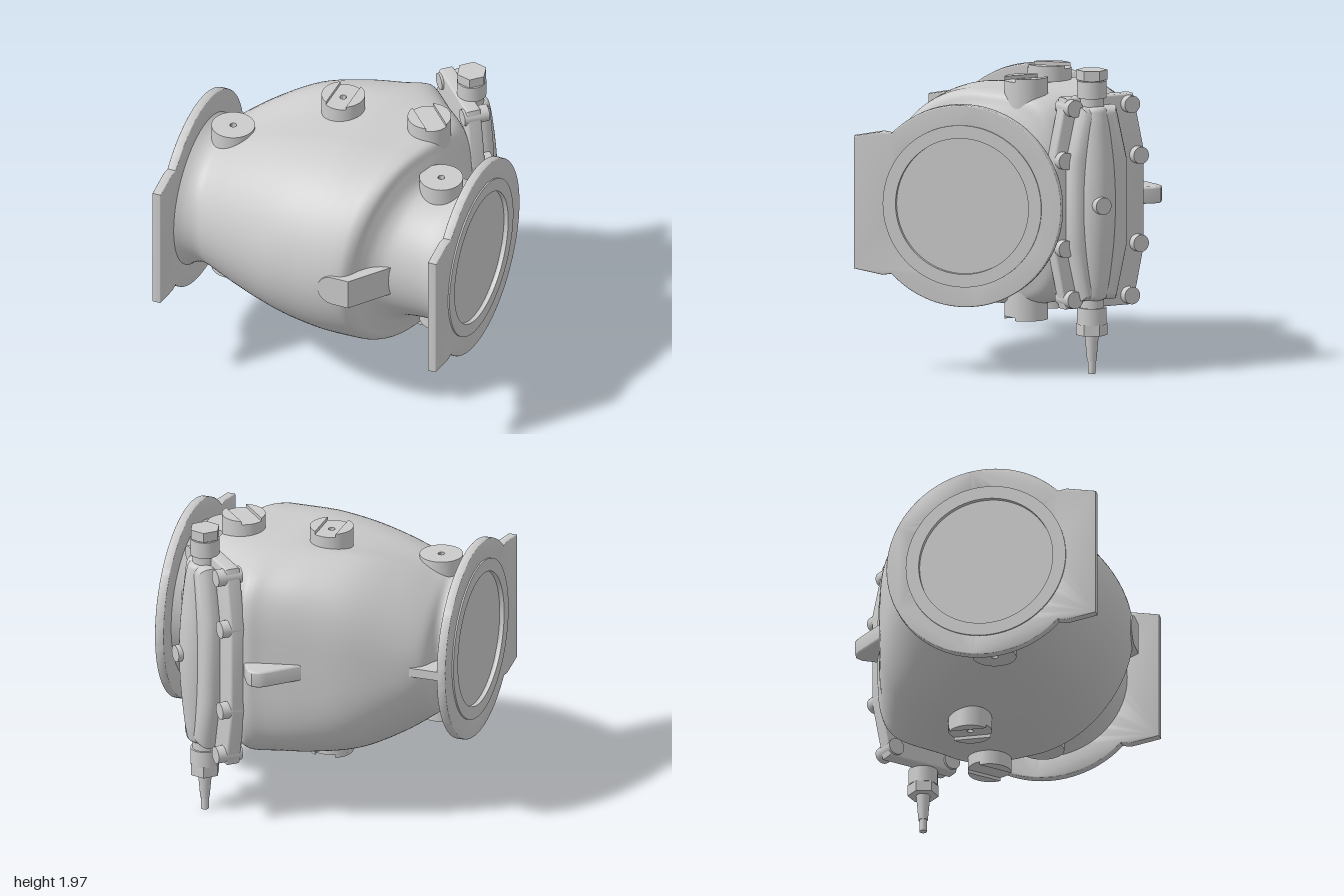
import * as THREE from 'three';
import { toCreasedNormals } from 'three/addons/utils/BufferGeometryUtils.js';

const CY = 1.11, CZ = 0.19; // pipe axis height and depth
const mat = new THREE.MeshStandardMaterial({ color: 0xcccccc });
const flatMat = new THREE.MeshStandardMaterial({ color: 0xcccccc, flatShading: true });

function add(parent, name, geo, x = 0, y = 0, z = 0, m = mat) {
  const mesh = new THREE.Mesh(geo, m);
  mesh.name = name;
  mesh.position.set(x, y, z);
  parent.add(mesh);
  return mesh;
}

function extrude(shape, depth, bevel = 0) {
  const geo = new THREE.ExtrudeGeometry(shape, {
    depth: depth - 2 * bevel, bevelEnabled: bevel > 0, bevelSize: bevel,
    bevelThickness: bevel, bevelOffset: -bevel, bevelSegments: 4, curveSegments: 40 });
  geo.translate(0, 0, bevel);
  return toCreasedNormals(geo, 0.6);
}

const polygon = (pts) => new THREE.Shape(pts.map(([x, y]) => new THREE.Vector2(x, y)));

// Horizontal slab from a plan outline given as [x, z], centred on height y
function slab(parent, name, pts, thick, y, bevel) {
  const geo = extrude(polygon(pts.map(([x, z]) => [x, -z])), thick, bevel);
  geo.rotateX(-Math.PI / 2);
  add(parent, name, geo, 0, y - thick / 2, 0);
}

// Catmull-Rom between rows of numbers
function blend(rows, j, t) {
  const at = (k) => rows[Math.max(0, Math.min(rows.length - 1, k))];
  return rows[0].map((_, i) => {
    const [a, b, c, d] = [at(j - 1)[i], at(j)[i], at(j + 1)[i], at(j + 2)[i]];
    return b + 0.5 * t * (c - a + t * (2 * a - 5 * b + 4 * c - d + t * (3 * (b - c) + d - a)));
  });
}

// Casting: upright sections fanning round, each with [front x, front z,
// back x, back z, half height, squareness of the back, half height of the back]
function bodyGeometry() {
  const rows = [
    [-0.95, 0.71, -0.95, -0.33, 0.52, 2, 0.52], [-0.88, 0.67, -0.89, -0.29, 0.475, 2, 0.475],
    [-0.80, 0.655, -0.855, -0.32, 0.46, 2, 0.46], [-0.72, 0.68, -0.80, -0.425, 0.48, 2.1, 0.50],
    [-0.58, 0.73, -0.62, -0.53, 0.54, 2.5, 0.60], [-0.40, 0.79, -0.36, -0.64, 0.605, 3.2, 0.69],
    [-0.20, 0.85, -0.08, -0.71, 0.655, 3.8, 0.715], [0.00, 0.88, 0.14, -0.76, 0.685, 4.2, 0.71],
    [0.12, 0.89, 0.25, -0.79, 0.69, 4.6, 0.70], [0.20, 0.89, 0.32, -0.76, 0.69, 5, 0.69],
    [0.26, 0.885, 0.48, -0.59, 0.69, 5, 0.69], [0.31, 0.87, 0.62, -0.45, 0.69, 5, 0.69],
    [0.35, 0.83, 0.70, -0.37, 0.67, 4, 0.67], [0.385, 0.77, 0.73, -0.32, 0.60, 3, 0.60],
    [0.45, 0.70, 0.76, -0.275, 0.51, 2, 0.51], [0.56, 0.66, 0.80, -0.27, 0.47, 2, 0.47],
    [0.80, 0.655, 0.85, -0.275, 0.465, 2, 0.465], [0.95, 0.71, 0.95, -0.33, 0.52, 2, 0.52],
  ];
  const N = 96, SUB = 6, pos = [], index = [];
  const rings = (rows.length - 1) * SUB + 1;
  for (let r = 0; r < rings; r++) {
    const j = Math.min(Math.floor(r / SUB), rows.length - 2);
    const [fx, fz, bx, bz, h, n, hb] = blend(rows, j, r / SUB - j);
    const k = (fz - CZ) / (fz - bz), cx = fx + (bx - fx) * k;
    for (let i = 0; i < N; i++) {
      const a = (i / N) * Math.PI * 2, c = Math.cos(a), s = Math.sin(a);
      const e = c < 0 ? 2 / n : 1, u = Math.abs(c) ** e;
      const [ex, ez] = c < 0 ? [bx, bz] : [fx, fz];
      const height = h + (hb - h) * THREE.MathUtils.smoothstep(-c, 0, 0.4);
      pos.push(cx + (ex - cx) * u, CY + height * Math.sign(s) * Math.abs(s) ** e, CZ + (ez - CZ) * u);
      if (r < rings - 1) {
        const p = r * N + i, q = r * N + (i + 1) % N;
        index.push(p, p + N, q + N, p, q + N, q);
      }
    }
  }
  const geo = new THREE.BufferGeometry();
  geo.setAttribute('position', new THREE.Float32BufferAttribute(pos, 3));
  geo.setIndex(index);
  geo.computeVertexNormals();
  return geo;
}

// Round flange with a straight foot toward the front
function flange(parent, side) {
  const g = new THREE.Group();
  g.name = side < 0 ? 'rightFlange' : 'leftFlange';
  const a = Math.atan2(0.455, -0.47);
  const shape = new THREE.Shape();
  shape.moveTo(-0.72, -0.43);
  shape.lineTo(-0.72, 0.43);
  shape.lineTo(-0.53, 0.465);
  shape.absarc(0, 0, 0.655, a, -a, true);
  shape.lineTo(-0.53, -0.465);
  const hole = new THREE.Path().absarc(0, 0, 0.44, 0, Math.PI * 2);
  shape.holes.push(hole);
  const ring = new THREE.Shape().absarc(0, 0, 0.525, 0, Math.PI * 2);
  ring.holes.push(hole);
  const plate = extrude(shape, 0.06, 0.008).rotateY(Math.PI / 2);
  const face = extrude(ring, 0.02).rotateY(Math.PI / 2);
  const cover = new THREE.CylinderGeometry(0.455, 0.455, 0.02, 64).rotateZ(Math.PI / 2);
  add(g, 'flangePlate', plate, side < 0 ? -0.99 : 0.93);
  add(g, 'raisedFace', face, side < 0 ? -1 : 0.98);
  add(g, 'boreCover', cover, side * 0.96);
  g.position.set(0, CY, CZ);
  parent.add(g);
}

// Upright boss, optionally with a pin hole and a shallow slot across the top
function boss(parent, x, z, from, to, hole, slotTurn) {
  const g = new THREE.Group();
  g.name = 'boss';
  const slotted = slotTurn !== undefined, R = 0.14;
  const disc = new THREE.Shape().absarc(0, 0, R, 0, Math.PI * 2);
  if (hole) disc.holes.push(new THREE.Path().absarc(0, 0, 0.022, 0, Math.PI * 2));
  const top = slotted ? to - 0.022 : to;
  add(g, 'bossBody', extrude(disc, top - from).rotateX(-Math.PI / 2), 0, from);
  if (slotted) {
    const lip = new THREE.Shape().absarc(0, 0, R, -Math.PI / 3, Math.PI / 3);
    for (const turn of [0, Math.PI]) {
      add(g, 'slotLip', extrude(lip, 0.022).rotateX(-Math.PI / 2), 0, top).rotation.y = turn;
    }
    g.rotation.y = slotTurn;
  }
  g.position.set(x, 0, z);
  parent.add(g);
}

// Bolted side cover, local +z pointing out of the body
function bonnet(parent) {
  const g = new THREE.Group();
  g.name = 'bonnet';
  const barrel = (w, m, h) => polygon([[-w, h], [-m, h * 0.45], [-m, -h * 0.45],
    [-w, -h], [w, -h], [m, -h * 0.45], [m, h * 0.45], [w, h]]);
  add(g, 'bonnetPlate', extrude(barrel(0.25, 0.33, 0.685), 0.1, 0.015), 0, 0, -0.07);
  add(g, 'bonnetDome', extrude(barrel(0.13, 0.21, 0.63), 0.15, 0.07), -0.045, 0, -0.01);
  for (const sx of [-1, 1]) for (const [x, y] of [[0.21, 0.62], [0.275, 0.285]]) for (const sy of [-1, 1]) {
    const bolt = new THREE.CylinderGeometry(0.056, 0.056, 0.17, 24).rotateX(Math.PI / 2);
    add(g, 'bolt', bolt, sx * x, sy * y, 0);
  }
  const plug = new THREE.CylinderGeometry(0.056, 0.056, 0.14, 24).rotateX(Math.PI / 2);
  add(g, 'centrePlug', plug, -0.085, 0, 0.165);
  g.position.set(0.54, CY, -0.59);
  g.rotation.y = Math.atan2(0.72, -0.69);
  parent.add(g);
}

// Upright spindle housing with hex caps and a tapered stem end
function spindle(parent) {
  const g = new THREE.Group();
  g.name = 'spindle';
  // swollen middle of the housing, symmetric about mid height
  const half = [[0, 0.64], [0.07, 0.62], [0.09, 0.57], [0.108, 0.45], [0.13, 0.22]];
  const profile = new THREE.SplineCurve([
    ...half.map(([r, y]) => new THREE.Vector2(r, -y)), new THREE.Vector2(0.138, 0),
    ...half.slice().reverse().map(([r, y]) => new THREE.Vector2(r, y))]);
  add(g, 'housing', new THREE.LatheGeometry(profile.getPoints(50), 40), 0.022, CY, -0.021);
  add(g, 'housingTube', new THREE.CylinderGeometry(0.08, 0.08, 1.4, 32), 0, CY, 0);
  for (const s of [-1, 1]) {
    add(g, 'collar', new THREE.CylinderGeometry(0.094, 0.094, 0.11, 32), 0, CY + s * 0.735, 0);
  }
  for (const [y, h] of [[1.938, 0.065], [0.288, 0.075]]) {
    const hex = new THREE.CylinderGeometry(0.1, 0.1, h, 6).rotateY(Math.PI / 12);
    add(g, 'hexNut', hex, 0, y, 0, flatMat);
  }
  add(g, 'hexNeck', new THREE.CylinderGeometry(0.08, 0.08, 0.2, 32), 0, 1.83, 0);
  add(g, 'stemTaper', new THREE.CylinderGeometry(0.046, 0.03, 0.18, 24), 0, 0.17, 0);
  add(g, 'stemTip', new THREE.CylinderGeometry(0.025, 0.025, 0.09, 24), 0, 0.045, 0);
  g.position.set(0.61, 0, -0.57);
  parent.add(g);
}

export function createModel() {
  const model = new THREE.Group();
  model.name = 'valve';
  add(model, 'body', bodyGeometry());
  flange(model, -1);
  flange(model, 1);

  // Bosses on top, mirrored underneath
  for (const s of [1, -1]) {
    const g = new THREE.Group();
    g.name = s > 0 ? 'topBosses' : 'bottomBosses';
    boss(g, -0.73, CZ, 0.3, 0.56, true);
    boss(g, 0.72, CZ, 0.3, 0.56, true);
    boss(g, -0.09, -0.11, 0.5, 0.785, true, 0);
    boss(g, 0.51, -0.11, 0.5, 0.785, false, 0.76);
    g.position.y = CY;
    g.scale.y = s;
    model.add(g);
  }

  bonnet(model);
  spindle(model);

  // Lugs and rib
  slab(model, 'frontLug', [[0.26, 0.897], [0.37, 0.897], [0.56, 0.65], [0.5, 0.45], [0.26, 0.6]], 0.21, CY);
  add(model, 'frontLugEnd', new THREE.CylinderGeometry(0.105, 0.105, 0.297, 40).rotateX(Math.PI / 2), 0.26, CY, 0.7485);
  slab(model, 'backLug', [[-0.12, -0.68], [0.08, -0.88], [0.12, -0.91], [0.17, -0.915],
    [0.21, -0.89], [0.27, -0.78], [0.1, -0.5]], 0.11, CY, 0.015);
  slab(model, 'flangeRib', [[-0.95, -0.465], [-0.66, -0.465], [-0.7, -0.3], [-0.95, -0.2]], 0.06, CY);
  return model;
}
